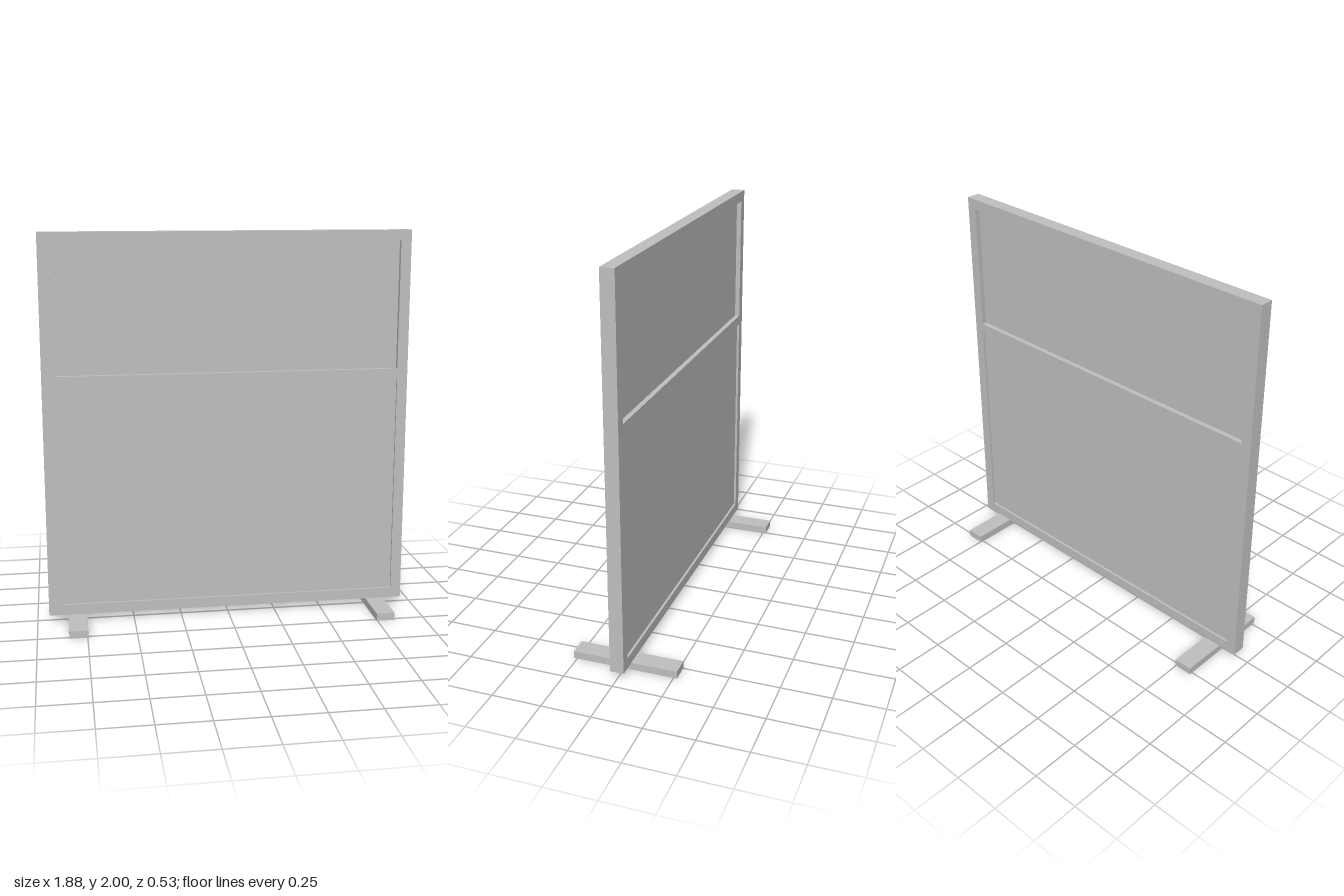
import * as THREE from 'three';

export function createModel() {
  const model = new THREE.Group();
  model.name = 'partitionScreen';
  const grey = new THREE.MeshStandardMaterial({ color: 0xc0c0c0 });
  grey.name = 'light grey';

  const add = (name, geometry, x, y, z) => {
    const mesh = new THREE.Mesh(geometry, grey);
    mesh.name = name;
    mesh.position.set(x, y, z);
    model.add(mesh);
  };
  const rect = (path, w, y0, y1) => {
    path.moveTo(-w, y0);
    path.lineTo(w, y0);
    path.lineTo(w, y1);
    path.lineTo(-w, y1);
    path.closePath();
    return path;
  };

  const bottom = 0.038, top = 2, halfWidth = 0.94, depth = 0.07;
  const openHalf = 0.886;
  const openings = [
    { name: 'lowerPanel', y0: 0.092, y1: 1.24, thickness: 0.046 },
    { name: 'upperPanel', y0: 1.29, y1: 1.946, thickness: 0.02 },
  ];

  // Frame with two openings, the strip between them being the middle rail
  const outline = rect(new THREE.Shape(), halfWidth, bottom, top);
  for (const o of openings) outline.holes.push(rect(new THREE.Path(), openHalf, o.y0, o.y1));
  add('frame', new THREE.ExtrudeGeometry(outline, { depth, bevelEnabled: false }), 0, 0, -depth / 2);

  // Recessed infill panels
  for (const o of openings) {
    add(o.name, new THREE.BoxGeometry(openHalf * 2, o.y1 - o.y0, o.thickness), 0, (o.y0 + o.y1) / 2, 0);
  }

  // Flat feet running front to back
  for (const [name, side] of [['leftFoot', 1], ['rightFoot', -1]]) {
    add(name, new THREE.BoxGeometry(0.095, bottom, 0.534), side * 0.794, bottom / 2, 0);
  }
  return model;
}
